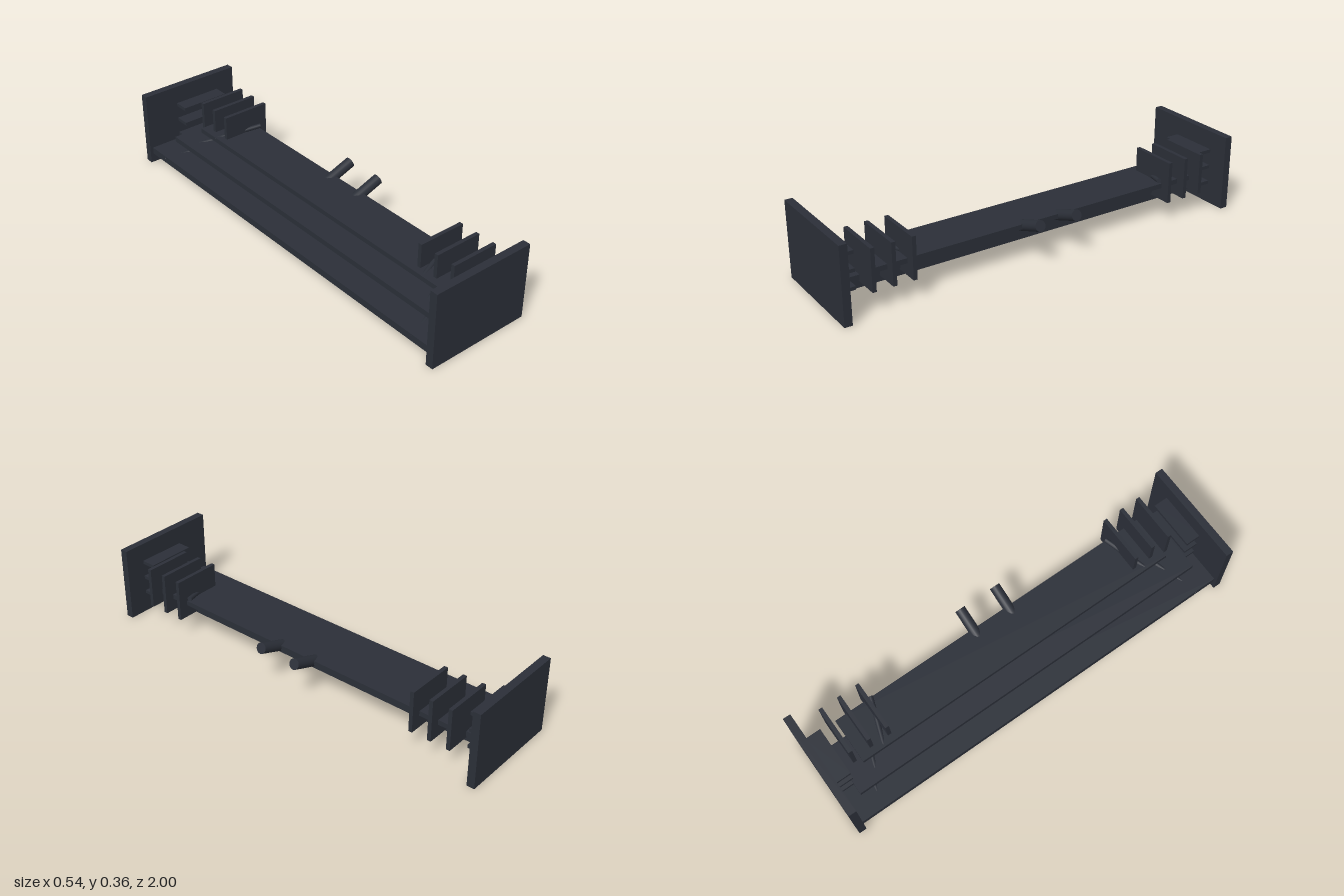
import * as THREE from 'three';

export function createModel() {
  const model = new THREE.Group();
  model.name = 'multiElementWing';
  const material = new THREE.MeshStandardMaterial({ color: 0x2b2f38 });

  // Box given by its low and high limits on each axis
  function box(name, [x0, x1], [y0, y1], [z0, z1]) {
    const mesh = new THREE.Mesh(new THREE.BoxGeometry(x1 - x0, y1 - y0, z1 - z0), material);
    mesh.position.set((x0 + x1) / 2, (y0 + y1) / 2, (z0 + z1) / 2);
    mesh.name = name;
    model.add(mesh);
  }

  // Round bar between two points
  function rod(name, from, to, radius, sides) {
    const a = new THREE.Vector3(...from);
    const b = new THREE.Vector3(...to);
    const dir = b.clone().sub(a);
    const mesh = new THREE.Mesh(new THREE.CylinderGeometry(radius, radius, dir.length(), sides), material);
    mesh.position.copy(a).add(b).multiplyScalar(0.5);
    mesh.quaternion.setFromUnitVectors(new THREE.Vector3(0, 1, 0), dir.normalize());
    mesh.name = name;
    model.add(mesh);
  }

  // Stepped wing planes
  box('mainPlane', [-0.255, 0.045], [0.045, 0.078], [-0.97, 0.97]);
  box('middleFlap', [-0.16, 0.09], [0.104, 0.13], [-0.905, 0.905]);
  box('upperFlap', [-0.063, 0.157], [0.156, 0.179], [-0.82, 0.82]);

  for (const s of [1, -1]) {
    const span = (a, b) => (s > 0 ? [a, b] : [-b, -a]);
    const end = s > 0 ? 'front' : 'back';

    // Endplate with three inner shelves
    box(end + 'Endplate', [-0.27, 0.232], [0, 0.358], span(0.964, 1));
    for (const y of [0.102, 0.182, 0.262])
      box(end + 'EndplateShelf', [-0.1, 0.135], [y - 0.008, y + 0.008], span(0.895, 0.97));

    // Upright fins
    for (const z of [0.663, 0.755, 0.847])
      box(end + 'Fin', [-0.03, 0.202], [0.097, 0.293], span(z - 0.009, z + 0.009));

    // Slanted vortex rods, one sunk into each plane
    rod(end + 'MainRod', [-0.255, 0.06, s * 0.862], [0.04, 0.088, s * 0.775], 0.011, 12);
    rod(end + 'MiddleRod', [-0.155, 0.113, s * 0.81], [0.09, 0.142, s * 0.725], 0.011, 12);
    rod(end + 'UpperRod', [-0.06, 0.167, s * 0.712], [0.155, 0.196, s * 0.637], 0.011, 12);

    // Mounting tube rising from the main plane
    rod(end + 'MountingTube', [-0.07, 0.086, s * 0.094], [0.259, 0.206, s * 0.094], 0.025, 20);
  }

  // Centre on x
  model.position.x = 0;
  return model;
}
